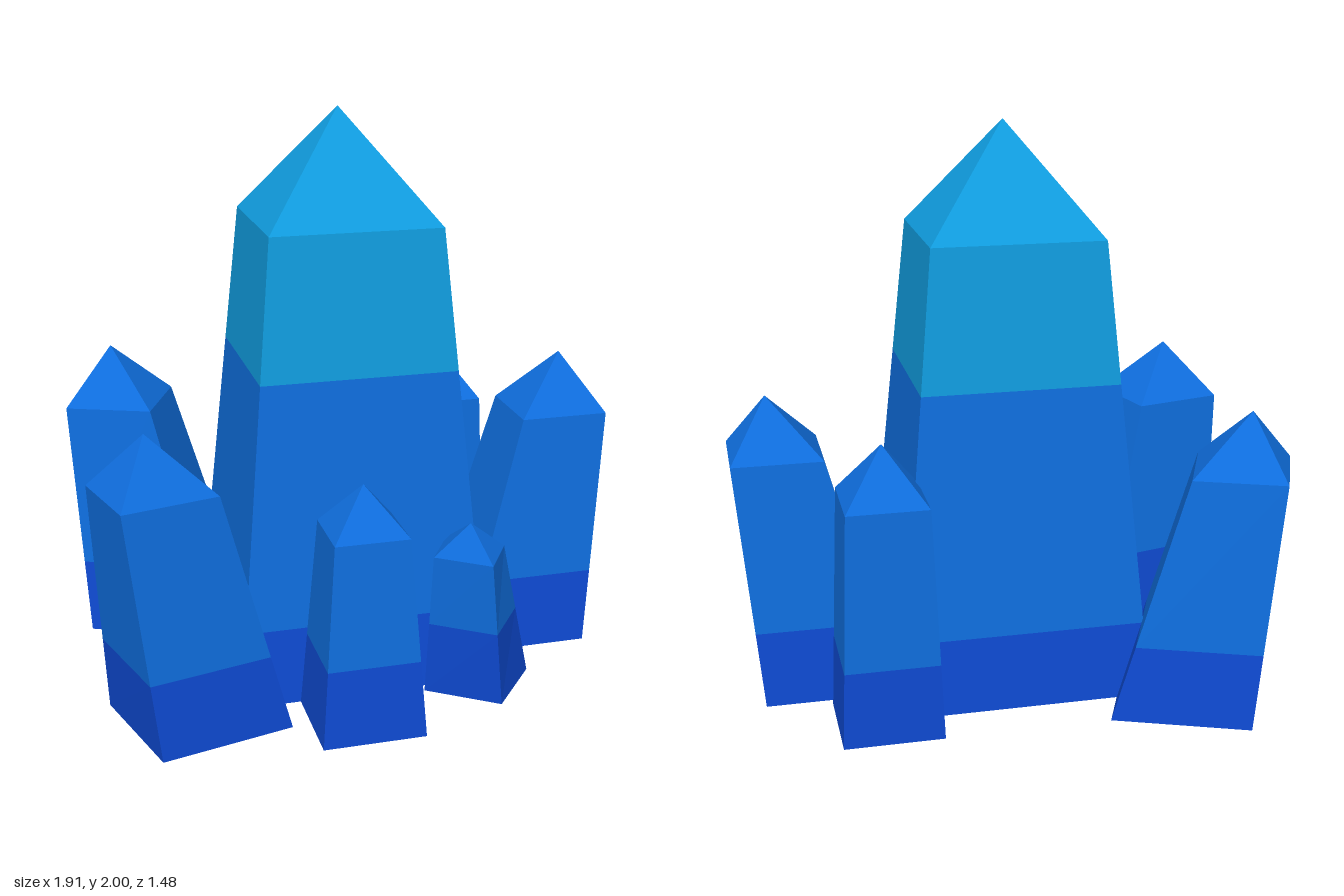
import * as THREE from 'three';

const material = (name, color) => {
  const m = new THREE.MeshStandardMaterial({ color, flatShading: true });
  m.name = name;
  return m;
};

// Heights at which the colour changes, shared by all crystals
const BANDS = [0.27, 1.13];

// Rectangle corners, counter-clockwise from above: front left, front right, back right, back left
const rect = (x0, x1, z0, z1) => [[x0, z1], [x1, z1], [x1, z0], [x0, z0]];

// Parallelogram from three consecutive corners
const para = (a, b, c) => [a, b, c, [a[0] + c[0] - b[0], a[1] + c[1] - b[1]]];

// Tapered four-sided shaft with a pointed tip and horizontal colour bands
function crystal(name, materials, base, top, shoulder, apex) {
  const ring = (y) => base.map(([x, z], i) => {
    const t = y / shoulder;
    return [x + (top[i][0] - x) * t, y, z + (top[i][1] - z) * t];
  });
  const levels = [0, ...BANDS.filter((y) => y < shoulder), shoulder];
  const rings = levels.map(ring);
  const positions = [];
  const geometry = new THREE.BufferGeometry();
  const tri = (...points) => points.forEach((p) => positions.push(...p));
  const closeGroup = (start, index) =>
    geometry.addGroup(start, positions.length / 3 - start, index);

  // Underside
  const [a, b, c, d] = rings[0];
  tri(a, c, b);
  tri(a, d, c);
  closeGroup(0, 0);

  // Shaft bands
  for (let k = 0; k < rings.length - 1; k++) {
    const start = positions.length / 3;
    for (let i = 0; i < 4; i++) {
      const j = (i + 1) % 4;
      tri(rings[k][i], rings[k][j], rings[k + 1][j]);
      tri(rings[k][i], rings[k + 1][j], rings[k + 1][i]);
    }
    closeGroup(start, k);
  }

  // Tip
  const start = positions.length / 3;
  const last = rings[rings.length - 1];
  for (let i = 0; i < 4; i++) tri(last[i], last[(i + 1) % 4], apex);
  closeGroup(start, rings.length - 2);

  geometry.setAttribute('position', new THREE.Float32BufferAttribute(positions, 3));
  geometry.computeVertexNormals();
  const mesh = new THREE.Mesh(geometry, materials);
  mesh.name = name;
  return mesh;
}

export function createModel() {
  const group = new THREE.Group();
  group.name = 'crystalCluster';
  const materials = [
    material('deepBlue', 0x0e4ad2),
    material('midBlue', 0x0f6ede),
    material('skyBlue', 0x109de0),
  ];
  const add = (name, ...shape) => group.add(crystal(name, materials, ...shape));

  // Tall central crystal
  add('mainCrystal', rect(-0.47, 0.43, -0.415, 0.41), rect(-0.32, 0.28, -0.27, 0.27),
    1.62, [-0.02, 2, 0]);

  // Upright side crystals
  add('leftCrystal', rect(0.395, 0.875, -0.22, 0.22), rect(0.635, 0.955, -0.147, 0.147),
    0.87, [0.82, 1.075, 0]);
  add('backLeftCrystal', rect(0.3, 0.645, -0.57, -0.25), rect(0.335, 0.615, -0.545, -0.27),
    0.82, [0.475, 1.01, -0.41]);
  add('frontCrystal', rect(-0.26, 0.095, 0.41, 0.74), rect(-0.21, 0.045, 0.46, 0.695),
    0.7, [-0.085, 0.86, 0.58]);

  // Turned, leaning crystals
  add('frontLeftCrystal',
    para([0.18, 0.445], [0.41, 0.605], [0.585, 0.39]),
    para([0.19, 0.49], [0.36, 0.613], [0.457, 0.455]),
    0.53, [0.315, 0.65, 0.505]);
  add('backRightCrystal',
    para([-0.28, -0.57], [-0.73, -0.74], [-0.905, -0.33]),
    para([-0.535, -0.585], [-0.83, -0.7], [-0.95, -0.42]),
    0.865, [-0.768, 1.07, -0.51]);
  add('frontRightCrystal',
    para([-0.905, 0.265], [-0.78, 0.68], [-0.325, 0.57]),
    para([-0.955, 0.35], [-0.875, 0.635], [-0.55, 0.555]),
    0.855, [-0.775, 1.055, 0.465]);

  return group;
}
